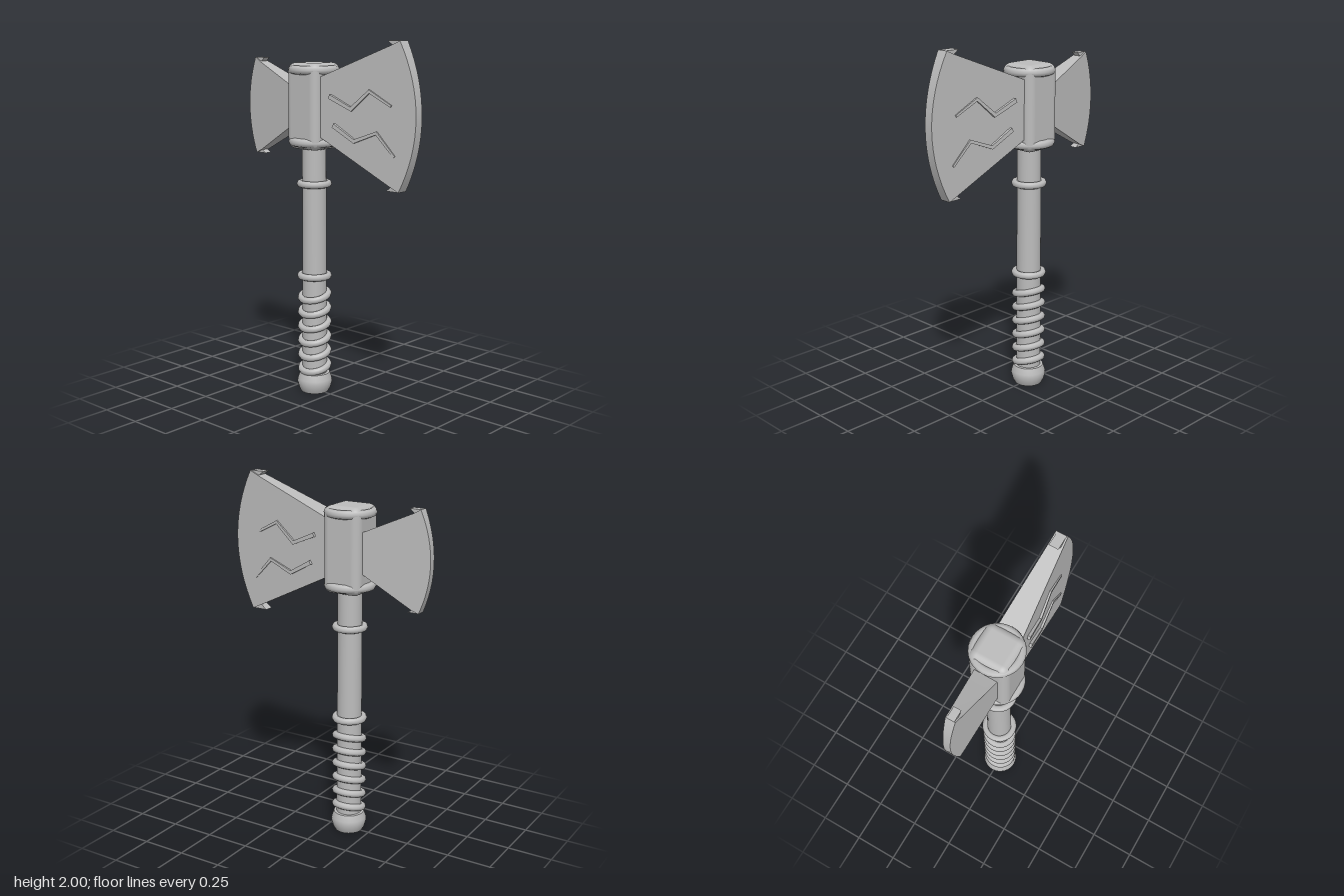
import * as THREE from 'three';
import { toCreasedNormals } from 'three/addons/utils/BufferGeometryUtils.js';
import { RoundedBoxGeometry } from 'three/addons/geometries/RoundedBoxGeometry.js';

const steel = new THREE.MeshStandardMaterial({ name: 'steelGrey', color: 0xbcbcbc });
const AXIS_X = -0.12;

function add(parent, name, geometry, x = 0, y = 0) {
  const mesh = new THREE.Mesh(geometry, steel);
  mesh.name = name;
  mesh.position.set(x, y, 0);
  parent.add(mesh);
  return mesh;
}

// Extrudes a front outline both ways; half thickness is a function of x
function wedge(shape, halfThickness) {
  const g = new THREE.ExtrudeGeometry(shape, { depth: 2, bevelEnabled: false, curveSegments: 16 });
  g.translate(0, 0, -1);
  const p = g.attributes.position;
  for (let i = 0; i < p.count; i++) p.setZ(i, p.getZ(i) * halfThickness(p.getX(i)));
  return toCreasedNormals(g, 0.3);
}

function polygon(points) {
  return new THREE.Shape(points.map(([x, y]) => new THREE.Vector2(x, y)));
}

// Zigzag strip that narrows along its length, with mitred corners
function zigzag(points, startWidth, endWidth) {
  const pts = points.map(([x, y]) => new THREE.Vector2(x, y));
  const normal = (a, b) => new THREE.Vector2(a.y - b.y, b.x - a.x).normalize();
  const upper = [], lower = [];
  pts.forEach((p, i) => {
    const n1 = normal(pts[Math.max(i - 1, 0)], pts[Math.max(i, 1)]);
    const n2 = i < pts.length - 1 ? normal(p, pts[i + 1]) : n1;
    const m = n1.clone().add(n2).normalize();
    const w = THREE.MathUtils.lerp(startWidth, endWidth, i / (pts.length - 1)) / 2 / m.dot(n1);
    upper.push(p.clone().addScaledVector(m, w));
    lower.unshift(p.clone().addScaledVector(m, -w));
  });
  return new THREE.Shape([...lower, ...upper]);
}

function ring(parent, name, y, radius, tube, sides = 8) {
  const g = new THREE.TorusGeometry(radius, tube, sides, 32);
  g.rotateX(Math.PI / 2);
  return add(parent, name, g, AXIS_X, y);
}

// Blade: wedge body with a curved edge, plus a square hook at each end of the edge
function blade(parent, name, b) {
  const group = new THREE.Group();
  group.name = name;
  parent.add(group);
  const s = new THREE.Shape();
  s.moveTo(b.root, b.rootLow);
  s.lineTo(b.neck, b.neckLow);
  s.lineTo(b.tip, b.low);
  s.quadraticCurveTo(2 * b.edge - b.tip, (b.low + b.high) / 2, b.tip, b.high);
  s.lineTo(b.neck, b.neckHigh);
  s.lineTo(b.root, b.rootHigh);
  add(group, 'bladeBody', wedge(s, b.half));
  const inner = b.tip + (b.tip - b.edge) * 0.15;
  for (const [end, neck] of [[b.high, b.neckHigh], [b.low, b.neckLow]]) {
    const inward = neck - (end - neck) * 1.4;
    add(group, 'edgeHook', wedge(polygon([
      [b.hook, end], [b.tip, end], [inner, inward], [b.neck, neck],
    ]), () => b.edgeHalf));
  }
  return group;
}

export function createModel() {
  const axe = new THREE.Group();
  axe.name = 'battleAxe';

  // Handle
  add(axe, 'shaft', new THREE.CylinderGeometry(0.066, 0.07, 1.4, 32), AXIS_X, 0.77);
  const pommel = [[0, 0], [0.08, 0], [0.09, 0.02], [0.1, 0.055], [0.097, 0.075], [0.085, 0.11], [0, 0.115]];
  add(axe, 'pommel', toCreasedNormals(
    new THREE.LatheGeometry(pommel.map(([r, y]) => new THREE.Vector2(r, y)), 24), 0.8), AXIS_X);
  ring(axe, 'upperCollar', 1.205, 0.078, 0.02);
  ring(axe, 'gripCollar', 0.68, 0.078, 0.02);

  // Slanted grip bands
  for (let i = 0; i < 6; i++) {
    ring(axe, 'gripBand', 0.145 + i * 0.084, 0.077, 0.02).rotation.x = 0.25;
  }

  // Head block and its two bands
  add(axe, 'headBlock', new RoundedBoxGeometry(0.224, 0.47, 0.224, 5, 0.045), AXIS_X, 1.635);
  ring(axe, 'headBandTop', 1.832, 0.117, 0.024);
  ring(axe, 'headBandBottom', 1.44, 0.117, 0.024);

  // Large and small blades
  const largeHalf = x => 0.07 - 0.075 * x;
  const large = blade(axe, 'largeBlade', {
    root: -0.06, rootLow: 1.5, rootHigh: 1.78, neck: 0.445, neckLow: 1.25, neckHigh: 1.977,
    hook: 0.412, tip: 0.497, low: 1.225, high: 2, edge: 0.6, half: largeHalf, edgeHalf: 0.026,
  });
  blade(axe, 'smallBlade', {
    root: -0.18, rootLow: 1.55, rootHigh: 1.72, neck: -0.505, neckLow: 1.36, neckHigh: 1.863,
    hook: -0.48, tip: -0.545, low: 1.343, high: 1.885, edge: -0.604,
    half: x => 0.065 + 0.12 * (x + 0.23), edgeHalf: 0.021,
  });

  // Raised zigzags on both faces of the large blade
  const raised = x => largeHalf(x) + 0.018 - 0.027 * x;
  for (const path of [
    [[0.06, 1.7], [0.2, 1.64], [0.315, 1.738], [0.45, 1.668]],
    [[0.085, 1.547], [0.22, 1.472], [0.36, 1.525], [0.472, 1.41]],
  ]) add(large, 'zigzagRidge', wedge(zigzag(path, 0.023, 0.012), raised));

  return axe;
}
